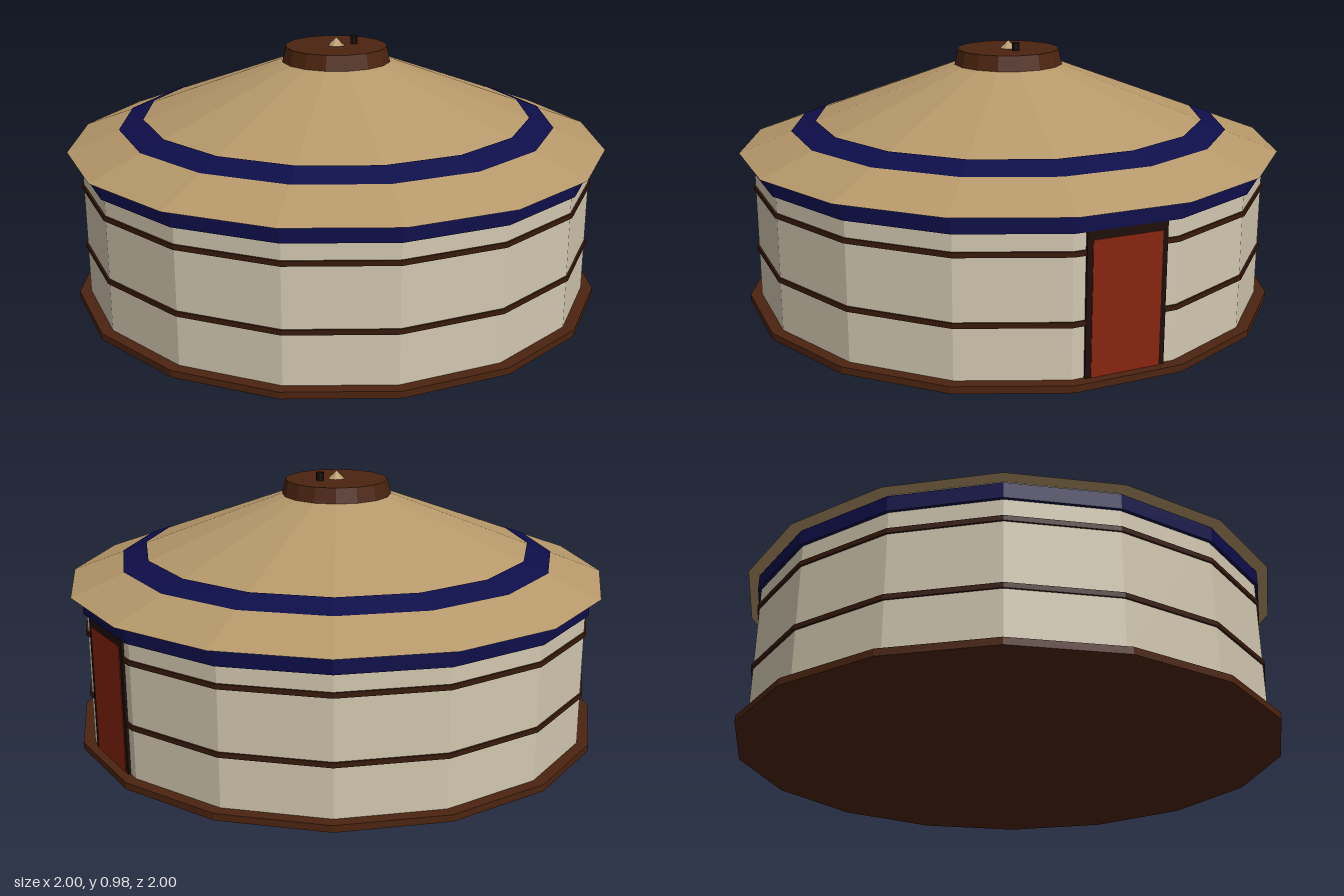
import * as THREE from 'three';

const SIDES = 16;

function mat(name, color) {
  const m = new THREE.MeshStandardMaterial({ color, flatShading: true });
  m.name = name;
  return m;
}

export function createModel() {
  const group = new THREE.Group();
  const felt = mat('cream felt', 0xd2c8b0);
  const canvas = mat('tan canvas', 0xb6986a);
  const blue = mat('navy trim', 0x0e0e4a);
  const brown = mat('brown wood', 0x4c2410);
  const rope = mat('dark rope', 0x381a0c);
  const red = mat('red door', 0x88240f);
  const dark = mat('dark frame', 0x1e0f0a);

  const add = (name, geometry, material, x = 0, y = 0, z = 0) => {
    const mesh = new THREE.Mesh(geometry, material);
    mesh.name = name;
    mesh.position.set(x, y, z);
    group.add(mesh);
    return mesh;
  };

  // Sixteen-sided drum with a flat facing each axis; radii reach the flats
  const ring = (name, material, y0, y1, r0, r1 = r0, open = false) => {
    const k = 1 / Math.cos(Math.PI / SIDES);
    const g = new THREE.CylinderGeometry(r1 * k, r0 * k, y1 - y0, SIDES, 1, open);
    g.rotateY(Math.PI / SIDES);
    return add(name, g, material, 0, (y0 + y1) / 2, 0);
  };

  // Platform and wall
  ring('basePlatform', brown, 0, 0.025, 0.99);
  ring('wall', felt, 0.025, 0.585, 0.948);

  // Ropes and trim around the wall
  for (const y of [0.215, 0.45]) ring('wallRope', rope, y - 0.009, y + 0.009, 0.955);
  ring('wallTrim', blue, 0.52, 0.575, 0.96);

  // Roof with its painted band
  const roofY = (r) => 0.585 + (1 - r) * 0.381;
  ring('roof', canvas, 0.585, roofY(0.2), 1, 0.2);
  ring('roofBand', blue, roofY(0.81) + 0.003, roofY(0.72) + 0.003, 0.81, 0.72, true);

  // Crown, finial and stovepipe
  ring('crown', brown, 0.885, 0.945, 0.204, 0.19);
  add('finial', new THREE.ConeGeometry(0.032, 0.03, 8), canvas, 0, 0.96, 0);
  add('stovepipe', new THREE.CylinderGeometry(0.015, 0.015, 0.06, 8), dark, 0.074, 0.946, 0);

  // Door on the left side
  add('doorFrame', new THREE.BoxGeometry(0.03, 0.495, 0.29), dark, 0.942, 0.2725, 0);
  add('doorPanel', new THREE.BoxGeometry(0.008, 0.465, 0.25), red, 0.9555, 0.2575, 0);

  return group;
}
